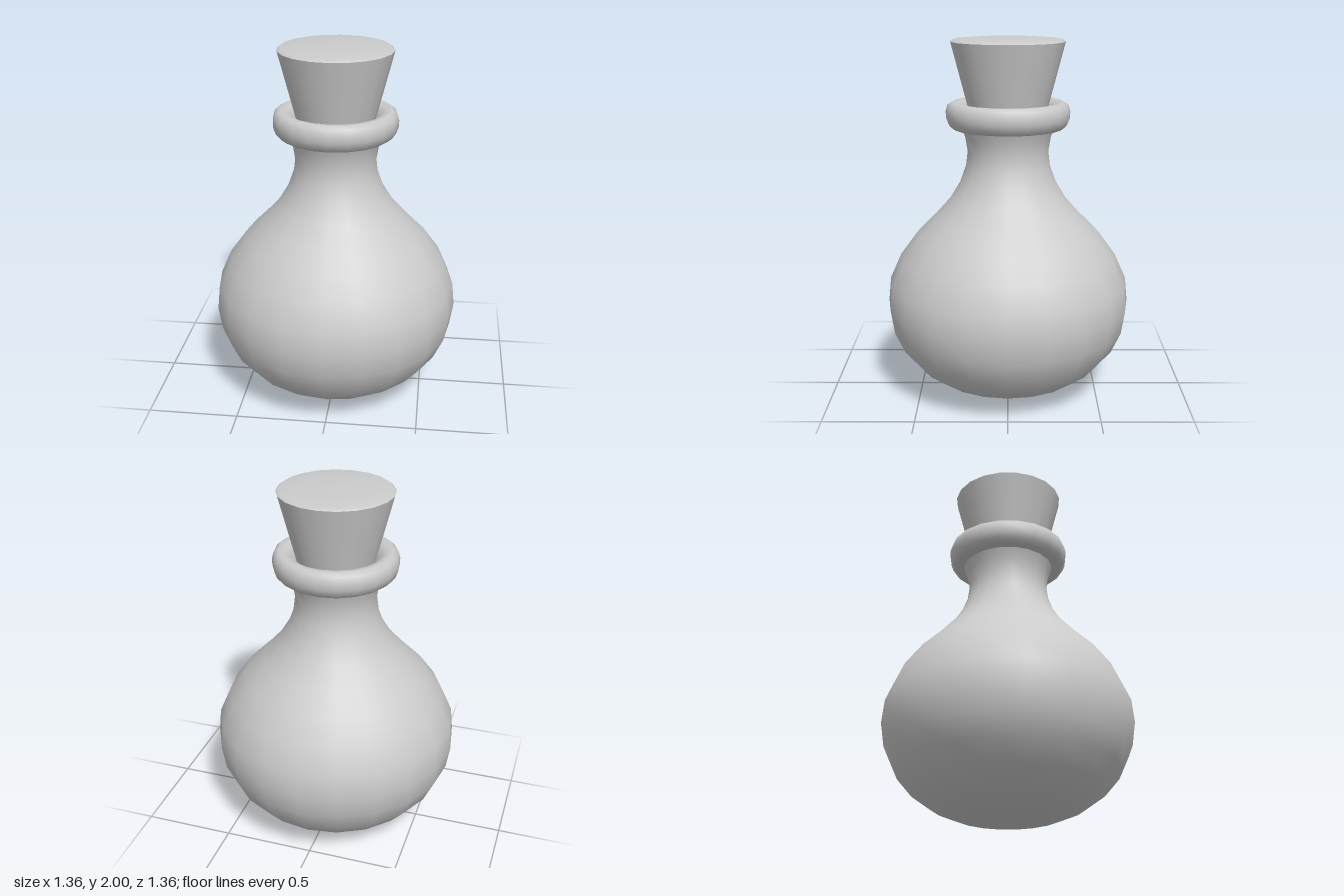
import * as THREE from 'three';

const SIDES = 20;
const material = new THREE.MeshStandardMaterial({ color: 0xcccccc, side: THREE.DoubleSide });

// Revolves a list of [radius, height] pairs, listed from the bottom up
function turned(name, profile) {
  const points = profile.map(([r, y]) => new THREE.Vector2(r, y));
  const mesh = new THREE.Mesh(new THREE.LatheGeometry(points, SIDES), material);
  mesh.name = name;
  return mesh;
}

export function createModel() {
  const flask = new THREE.Group();
  flask.name = 'corkedFlask';

  // Round belly narrowing into a flared neck
  flask.add(turned('bottleBody', [
    [0, 0], [0.15, 0.018], [0.3, 0.047], [0.42, 0.098], [0.52, 0.17],
    [0.605, 0.27], [0.66, 0.39], [0.68, 0.52], [0.667, 0.65], [0.605, 0.79],
    [0.51, 0.92], [0.41, 1.02], [0.32, 1.12], [0.265, 1.21], [0.232, 1.3],
    [0.222, 1.38], [0.235, 1.46], [0.26, 1.52],
  ]));

  // Rounded lip around the mouth
  flask.add(turned('lip', [
    [0.22, 1.51], [0.3, 1.51], [0.325, 1.53], [0.338, 1.565], [0.34, 1.6],
    [0.33, 1.637], [0.305, 1.653], [0.27, 1.65], [0.235, 1.63], [0.21, 1.59],
  ]));

  // Tapered cork with a slightly domed top
  const cork = new THREE.Group();
  cork.name = 'cork';
  cork.add(
    turned('corkSide', [[0.2, 1.55], [0.31, 1.975]]),
    turned('corkTop', [[0.31, 1.975], [0.295, 1.987], [0.18, 1.996], [0, 2]]),
  );
  flask.add(cork);

  return flask;
}
